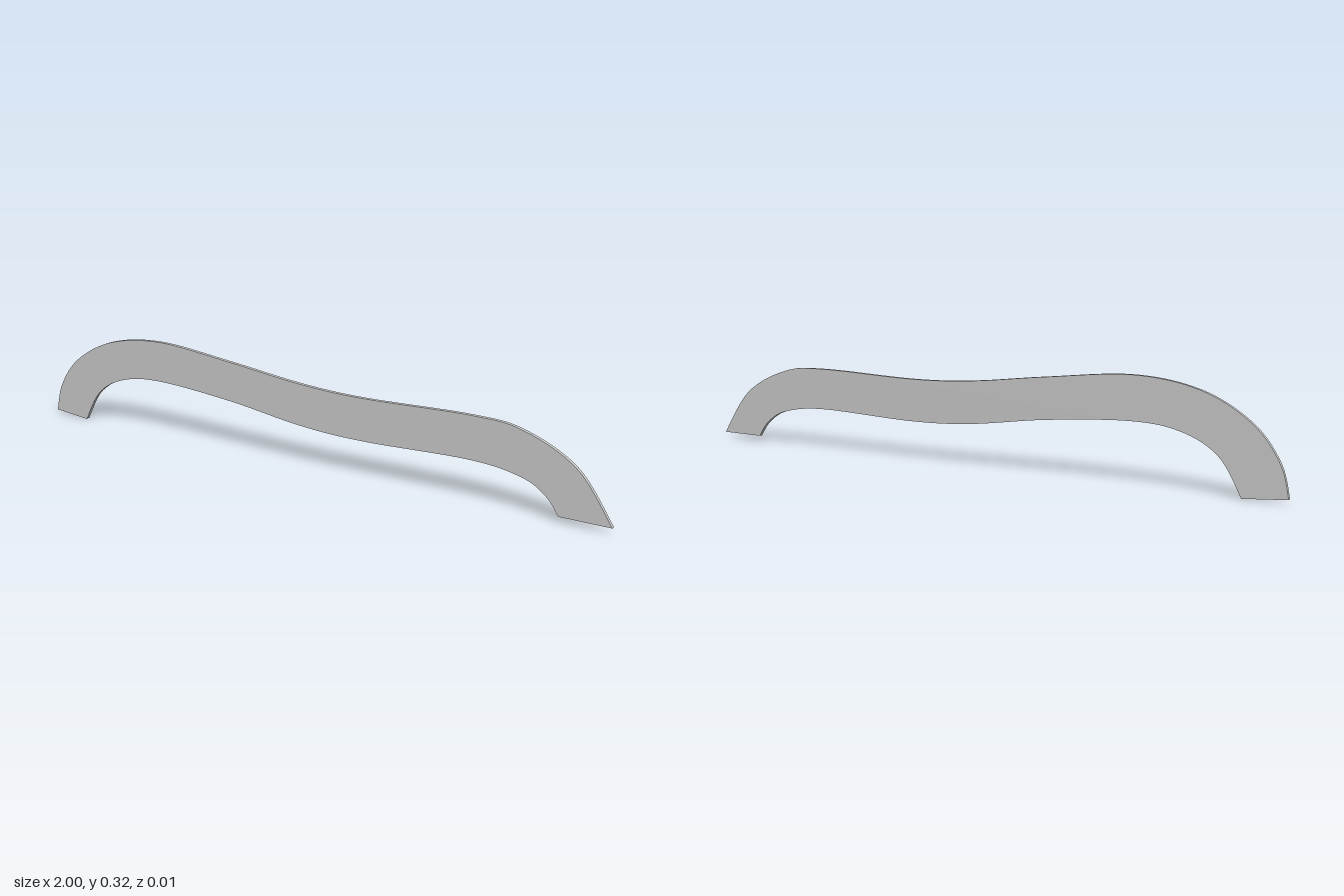
import * as THREE from 'three';
import { toCreasedNormals } from 'three/addons/utils/BufferGeometryUtils.js';

const points = (list) => list.map(([x, y]) => new THREE.Vector2(x, y));

export function createModel() {
  const group = new THREE.Group();
  group.name = 'curvedHandle';
  const depth = 0.0125;

  // Upper edge, left foot to right foot
  const upper = points([
    [-1, 0.012], [-0.972, 0.11], [-0.89, 0.213], [-0.74, 0.293], [-0.535, 0.322], [-0.26, 0.297],
    [0, 0.267], [0.22, 0.258], [0.57, 0.267], [0.73, 0.25], [0.89, 0.168], [1, 0.018],
  ]);
  // Lower edge, right foot to left foot
  const lower = points([
    [0.845, 0.018], [0.805, 0.07], [0.73, 0.112], [0.57, 0.133], [0.22, 0.123], [0, 0.133],
    [-0.26, 0.168], [-0.535, 0.188], [-0.69, 0.17], [-0.8, 0.11], [-0.868, 0.0],
  ]);

  const shape = new THREE.Shape();
  shape.moveTo(upper[0].x, upper[0].y);
  shape.splineThru(upper.slice(1));
  shape.lineTo(lower[0].x, lower[0].y);
  shape.splineThru(lower.slice(1));
  shape.closePath();

  // Thin flat band with smooth long edges and sharp rims
  const geometry = new THREE.ExtrudeGeometry(shape, { depth, bevelEnabled: false, curveSegments: 8 });
  geometry.translate(0, 0, -depth / 2);
  const band = new THREE.Mesh(
    toCreasedNormals(geometry, 0.6),
    new THREE.MeshStandardMaterial({ color: 0xcccccc }),
  );
  band.name = 'band';
  group.add(band);
  return group;
}
